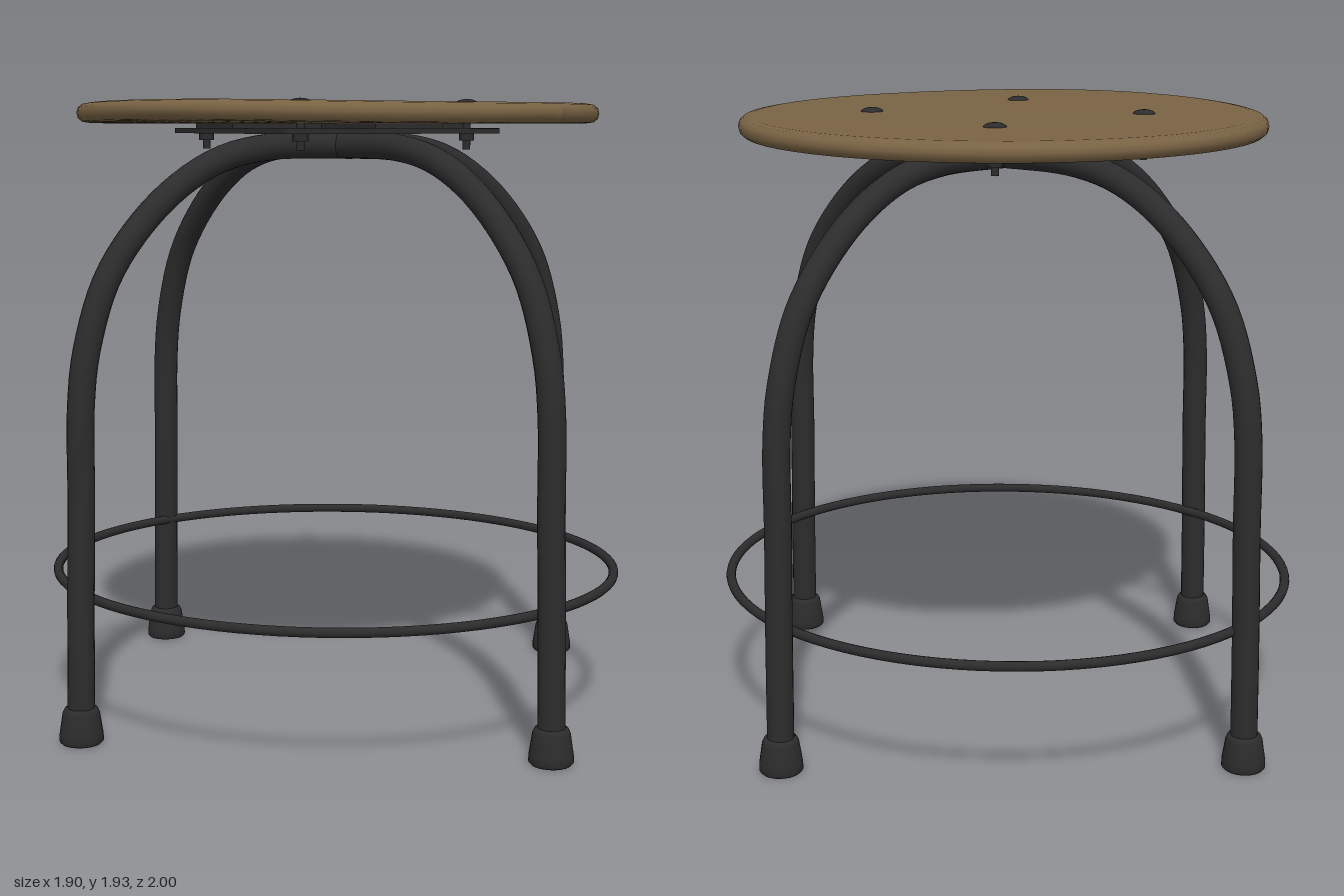
import * as THREE from 'three';

const wood = new THREE.MeshStandardMaterial({ color: 0x796344 });
wood.name = 'brown wood';
const metal = new THREE.MeshStandardMaterial({ color: 0x2c2c2c });
metal.name = 'black metal';

function add(parent, name, geometry, material, x = 0, y = 0, z = 0) {
  const mesh = new THREE.Mesh(geometry, material);
  mesh.name = name;
  mesh.position.set(x, y, z);
  parent.add(mesh);
  return mesh;
}

// Round wooden seat with softened rim and a slightly lifted left edge
function seatGeometry() {
  const profile = [
    [0, 1.86], [0.4, 1.86], [0.78, 1.86], [0.803, 1.863], [0.816, 1.874], [0.82, 1.89],
    [0.816, 1.906], [0.803, 1.917], [0.78, 1.921], [0.4, 1.922], [0, 1.922],
  ].map(([r, y]) => new THREE.Vector2(r, y));
  const geometry = new THREE.LatheGeometry(profile, 72);
  const p = geometry.attributes.position;
  for (let i = 0; i < p.count; i++) {
    const lift = Math.max(0, -p.getX(i) / 0.82) ** 4;
    p.setY(i, p.getY(i) + 0.01 * lift);
  }
  geometry.computeVertexNormals();
  return geometry;
}

// Bent tube running from one foot, under the seat, to the opposite foot
function archGeometry(a, b) {
  const side = [[1, 0.05], [0.994, 0.4], [0.985, 0.75], [0.98, 1.03], [0.955, 1.2],
    [0.87, 1.42], [0.69, 1.62], [0.49, 1.74], [0.3, 1.785]];
  const at = (foot) => ([k, y]) => new THREE.Vector3(foot[0] * k, y, foot[1] * k);
  const points = [...side.map(at(a)), new THREE.Vector3(0, 1.79, 0), ...side.map(at(b)).reverse()];
  return new THREE.TubeGeometry(new THREE.CatmullRomCurve3(points), 110, 0.041, 18);
}

// Flat square plate with rounded corners
function plateGeometry(half, radius, thickness) {
  const s = new THREE.Shape();
  const c = half - radius;
  for (let i = 0; i < 4; i++) {
    const a = i * Math.PI / 2;
    const x = Math.SQRT2 * c * Math.cos(a + Math.PI / 4);
    const y = Math.SQRT2 * c * Math.sin(a + Math.PI / 4);
    s.absarc(x, y, radius, a, a + Math.PI / 2, false);
  }
  const geometry = new THREE.ExtrudeGeometry(s, { depth: thickness, bevelEnabled: false, curveSegments: 5 });
  return geometry.rotateX(-Math.PI / 2);
}

export function createModel() {
  const stool = new THREE.Group();
  stool.name = 'stool';

  add(stool, 'seat', seatGeometry(), wood);

  // Two crossing leg arches
  const feet = [[0.88, 0.29], [-0.885, -0.305], [-0.195, 0.933], [0.19, -0.933]];
  add(stool, 'legArchSide', archGeometry(feet[0], feet[1]), metal);
  add(stool, 'legArchFrontBack', archGeometry(feet[2], feet[3]), metal);

  // Flared rubber feet
  const footProfile = [[0, 0], [0.06, 0], [0.067, 0.008], [0.066, 0.03], [0.056, 0.095], [0.05, 0.108], [0.038, 0.11]]
    .map(([r, y]) => new THREE.Vector2(r, y));
  for (const [x, z] of feet) {
    add(stool, 'foot', new THREE.LatheGeometry(footProfile, 24), metal, x, 0, z);
  }

  // Footrest ring
  const ring = new THREE.TorusGeometry(0.89, 0.015, 12, 96).rotateX(Math.PI / 2);
  add(stool, 'footrestRing', ring, metal, -0.003, 0.44, -0.01).scale.set(0.99, 1, 1.023);

  // Mounting plate with spacer tabs, turned to line up with the legs
  const mount = new THREE.Group();
  mount.name = 'seatMount';
  mount.position.set(-0.005, 0, -0.01);
  mount.rotation.y = -0.375;
  stool.add(mount);
  add(mount, 'mountingPlate', plateGeometry(0.385, 0.04, 0.016), metal, 0, 1.829, 0);
  add(mount, 'spacerTab', new THREE.BoxGeometry(0.86, 0.015, 0.24), metal, 0, 1.852, 0);
  add(mount, 'spacerTab', new THREE.BoxGeometry(0.24, 0.015, 0.86), metal, 0, 1.852, 0);

  // Bolts: domed heads above the seat, shanks and nuts below the plate
  const dome = new THREE.SphereGeometry(0.035, 18, 6, 0, Math.PI * 2, 0, Math.PI / 2).scale(1, 0.4, 1);
  for (const sx of [-1, 1]) {
    for (const sz of [-1, 1]) {
      const x = sx * 0.3, z = sz * 0.3;
      add(mount, 'boltHead', dome, metal, x, 1.921, z);
      add(mount, 'boltShank', new THREE.CylinderGeometry(0.012, 0.012, 0.09, 12), metal, x, 1.825, z);
      add(mount, 'boltNut', new THREE.CylinderGeometry(0.024, 0.024, 0.022, 6), metal, x, 1.818, z);
    }
  }
  return stool;
}
